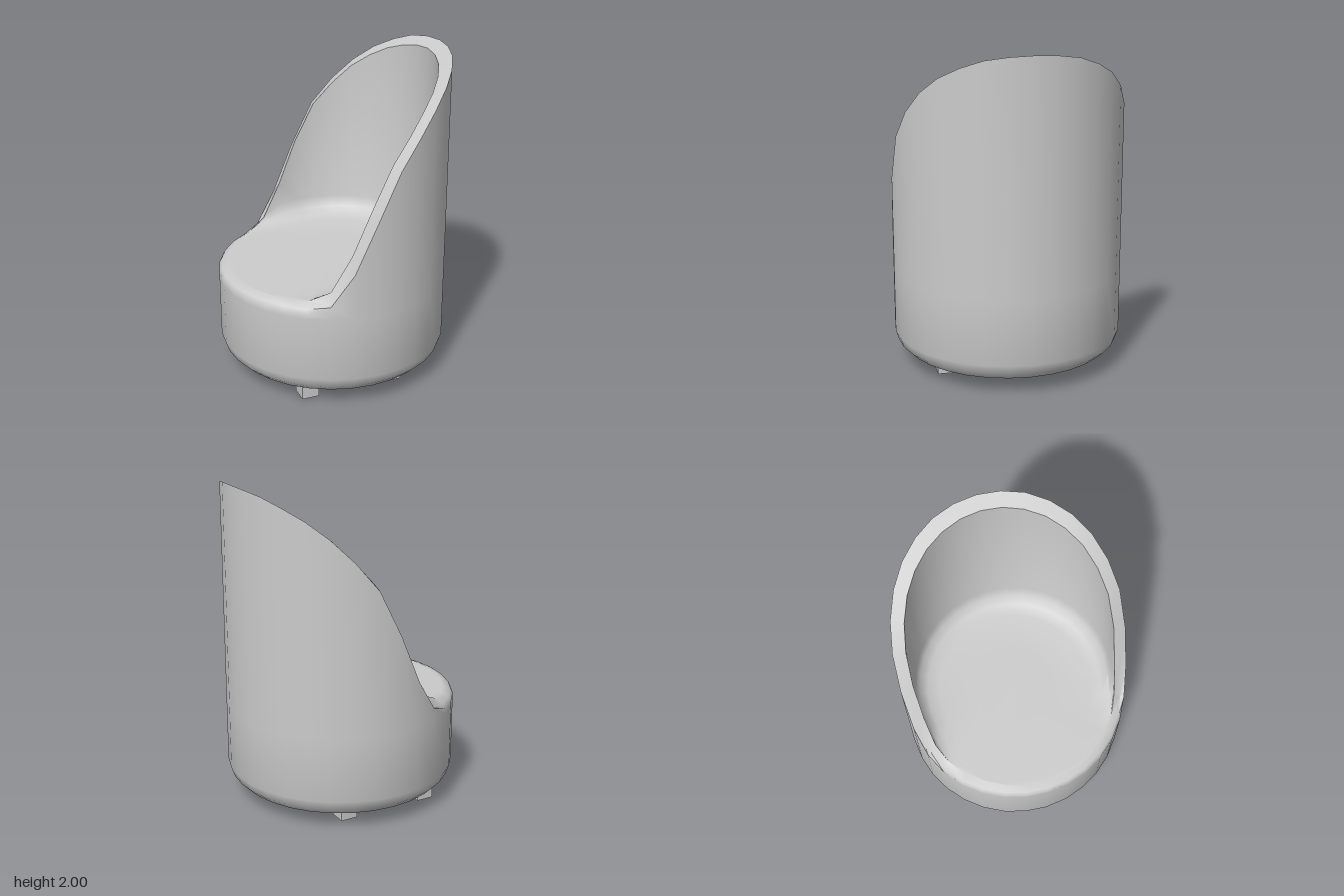
import * as THREE from 'three';
import { toCreasedNormals } from 'three/addons/utils/BufferGeometryUtils.js';

const SEGMENTS = 32;
const TURN = 0.238; // the chair stands slightly turned

// Height of the tub's rim along the seat direction (u: front -, back +)
const RIM = [[-0.71, 0.665], [-0.36, 0.665], [-0.25, 0.71], [-0.167, 0.82], [-0.08, 1.0], [0.03, 1.26],
  [0.15, 1.49], [0.25, 1.61], [0.355, 1.73], [0.5, 1.86], [0.65, 1.97], [0.71, 2.0]];

function rimHeight(u) {
  for (let i = 1; i < RIM.length; i++) {
    const [u0, y0] = RIM[i - 1], [u1, y1] = RIM[i];
    if (u <= u1) return THREE.MathUtils.mapLinear(Math.max(u, u0), u0, u1, y0, y1);
  }
  return 2;
}

const seatHeight = (u) => 0.705 + 0.05 * u;

// Cross-section at one angle: underside, outer wall, rim, inner wall, seat
function section(angle) {
  const c = Math.cos(angle);
  const front = 1 - THREE.MathUtils.smoothstep(0.71 * c, -0.36, -0.16);
  const rIn = 0.63 + 0.02 * front;
  const outer = rimHeight(0.71 * c) - 0.035 * front;
  const inner = Math.max(rimHeight(rIn * c + 0.025 * (1 - c * c)), seatHeight(rIn * c));
  const rise = inner - seatHeight(rIn * c);
  const rMid = THREE.MathUtils.lerp(0.67, 0.695, front);
  const yMid = THREE.MathUtils.lerp((outer + inner) / 2, 0.656, front);
  const seat = (r, lift = 0) => [r, seatHeight(r * c) + lift];
  return [
    [0, 0.09], [0.6, 0.09], [0.65, 0.1], [0.69, 0.14], [0.71, 0.2],
    [0.71, 0.6], [0.71, outer], [rMid, yMid], [rIn, inner],
    seat(rIn - 0.004, Math.min(0.12, rise * 0.8)),
    seat(rIn - 0.025, Math.min(0.05, rise * 0.4)),
    seat(rIn - 0.075, Math.min(0.015, rise * 0.1)),
    seat(0.48), seat(0.25), seat(0),
  ];
}

function tubGeometry() {
  const positions = [], index = [];
  let count = 0;
  for (let i = 0; i <= SEGMENTS; i++) {
    const a = ((i % SEGMENTS) / SEGMENTS) * Math.PI * 2;
    const points = section(a);
    count = points.length;
    for (const [r, y] of points) positions.push(r * Math.cos(a), y, r * Math.sin(a));
  }
  for (let i = 0; i < SEGMENTS; i++) {
    for (let j = 0; j < count - 1; j++) {
      const p = i * count + j, q = p + count;
      if (j < count - 2) index.push(p, p + 1, q + 1);
      else index.push(p, p + 1, q);
      if (j > 0 && j < count - 2) index.push(p, q + 1, q);
    }
  }
  const geometry = new THREE.BufferGeometry();
  geometry.setAttribute('position', new THREE.Float32BufferAttribute(positions, 3));
  geometry.setIndex(index);
  return toCreasedNormals(geometry, 0.85);
}

export function createModel() {
  const model = new THREE.Group();
  model.name = 'tubChair';
  const material = new THREE.MeshStandardMaterial({ color: 0xcccccc });

  // Seat and wraparound back in one shell
  const tub = new THREE.Mesh(tubGeometry(), material);
  tub.name = 'seatAndBack';
  model.add(tub);

  // Four short square feet
  const footGeometry = new THREE.BoxGeometry(0.108, 0.1, 0.108);
  for (const [x, end] of [[-0.335, 'front'], [0.21, 'back']]) {
    for (const side of [-1, 1]) {
      const foot = new THREE.Mesh(footGeometry, material);
      foot.name = end + (side > 0 ? 'Left' : 'Right') + 'Foot';
      foot.position.set(x, 0.05, side * 0.435);
      model.add(foot);
    }
  }

  model.rotation.y = TURN;
  return model;
}
